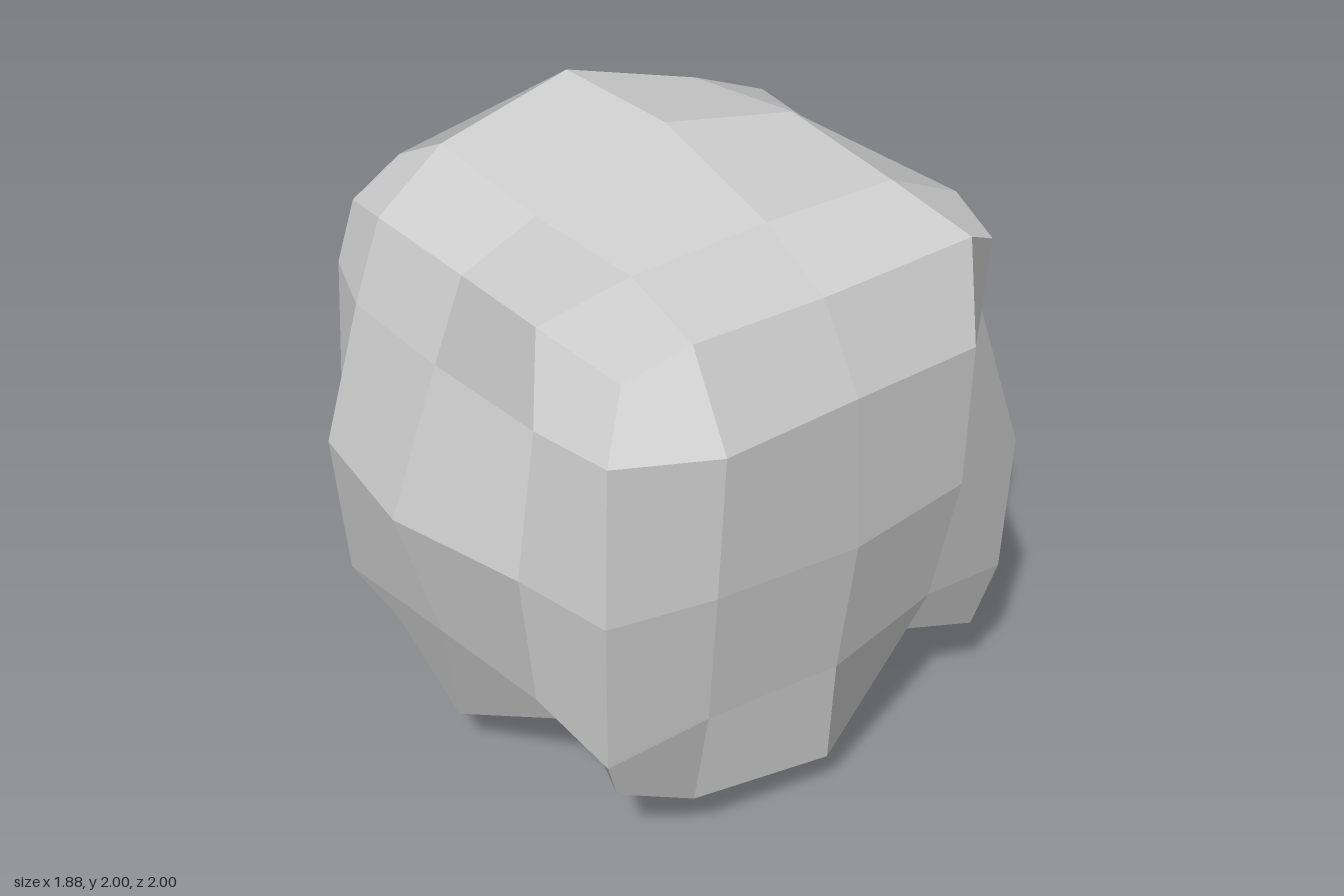
import * as THREE from 'three';

// How far each grid point is pushed out from the centre.
// Layers run bottom to top, rows back to front, columns from -x to +x (0 = inside).
const LAYERS = [
  [
    [0.65, 0.75, 0.83, 0.78, 0.72],
    [0.75, 0.88, 0.88, 0.86, 0.66],
    [0.8, 0.94, 1.0, 0.935, 0.84],
    [0.71, 0.9, 0.77, 0.885, 0.79],
    [0.715, 0.755, 0.82, 0.64, 0.71],
  ],
  [
    [0.7, 0.83, 1.0, 0.84, 0.77],
    [0.82, 0, 0, 0, 0.78],
    [0.9, 0, 0, 0, 0.86],
    [0.88, 0, 0, 0, 0.83],
    [0.68, 0.905, 0.86, 0.82, 0.81],
  ],
  [
    [0.75, 0.84, 0.925, 0.84, 0.78],
    [0.83, 0, 0, 0, 0.86],
    [0.95, 0, 0, 0, 0.925],
    [0.94, 0, 0, 0, 0.88],
    [0.75, 0.94, 1.0, 0.875, 0.81],
  ],
  [
    [0.74, 0.855, 0.945, 0.74, 0.68],
    [0.8, 0, 0, 0, 0.865],
    [0.88, 0, 0, 0, 0.89],
    [0.84, 0, 0, 0, 0.925],
    [0.73, 0.82, 0.825, 0.79, 0.765],
  ],
  [
    [0.68, 0.76, 0.725, 0.745, 0.69],
    [0.75, 0.87, 0.91, 0.86, 0.8],
    [0.72, 1.0, 1.0, 0.86, 0.73],
    [0.755, 0.89, 0.83, 0.83, 0.75],
    [0.685, 0.72, 0.72, 0.79, 0.6],
  ],
];

// Grid point to its place on the boulder: outer coordinates take the push distance,
// inner ones spread a little wider where the point is pushed further
function place(grid) {
  const push = LAYERS[grid[1] + 2][grid[2] + 2][grid[0] + 2];
  const onEdge = grid.filter((g) => Math.abs(g) === 2).length > 1;
  const inner = 0.47 + 0.28 * (push - (onEdge ? 0.74 : 0.85));
  const [x, y, z] = grid.map((g) => (Math.abs(g) === 2 ? Math.sign(g) * push : g * inner));
  return new THREE.Vector3(x + 0.012, y + 1, z);
}

function triangleNormal(a, b, c) {
  return b.clone().sub(a).cross(c.clone().sub(a)).normalize();
}

function boulderGeometry() {
  const box = new THREE.BoxGeometry(4, 4, 4, 4, 4, 4);
  const source = box.attributes.position;
  const index = box.index.array;
  const positions = [];
  const normals = [];

  // Each cell becomes one four-sided facet with a single normal
  for (let n = 0; n < index.length; n += 6) {
    const [a, b, c, d] = [0, 1, 4, 2].map((o) => {
      const v = index[n + o];
      return place([source.getX(v), source.getY(v), source.getZ(v)].map(Math.round));
    });
    const normal = c.clone().sub(a).cross(d.clone().sub(b)).normalize();

    // Turn the fold the other way where it would overhang
    const overhangs = triangleNormal(a, b, d).dot(triangleNormal(b, c, d)) < 0.1;
    const corners = overhangs ? [a, b, c, a, c, d] : [a, b, d, b, c, d];
    for (const p of corners) {
      positions.push(p.x, p.y, p.z);
      normals.push(normal.x, normal.y, normal.z);
    }
  }

  const geometry = new THREE.BufferGeometry();
  geometry.setAttribute('position', new THREE.Float32BufferAttribute(positions, 3));
  geometry.setAttribute('normal', new THREE.Float32BufferAttribute(normals, 3));
  return geometry;
}

export function createModel() {
  const group = new THREE.Group();
  group.name = 'boulder';

  const stone = new THREE.MeshStandardMaterial({ color: 0xcccccc });
  stone.name = 'grey stone';

  const rock = new THREE.Mesh(boulderGeometry(), stone);
  rock.name = 'rock';
  group.add(rock);
  return group;
}
